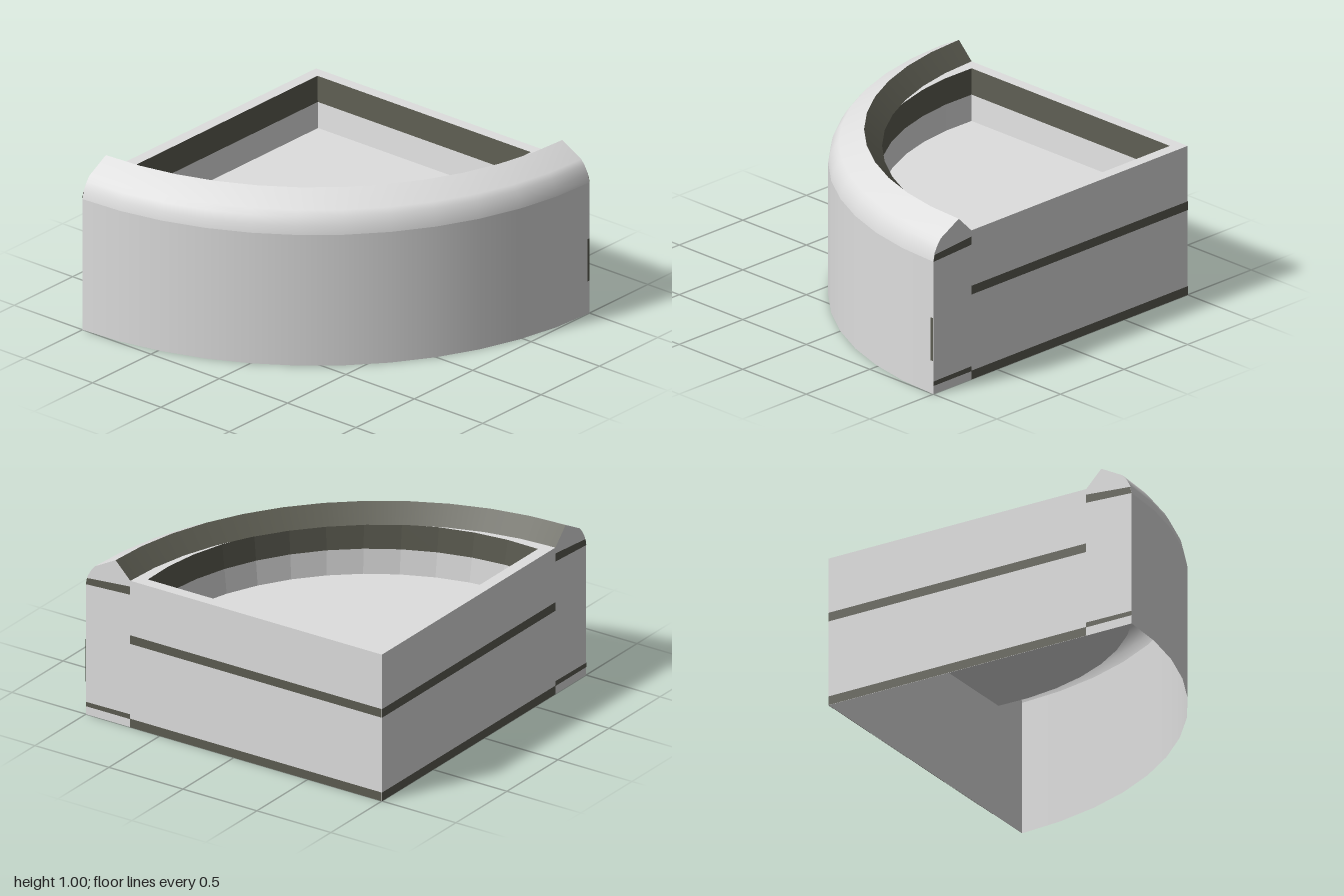
import * as THREE from 'three';

const SEG = 12;
const light = new THREE.MeshStandardMaterial({ color: 0xdedede, side: THREE.DoubleSide });
light.name = 'light grey';
const dark = new THREE.MeshStandardMaterial({ color: 0x5c5c51, side: THREE.DoubleSide });
dark.name = 'dark olive grey';

// Quarter outline as [x, z], starting at the square corner (1, -1) moved in by c
function outline(c, radius, bulge = 0) {
  const pts = [[1 - c, -1 + c]];
  for (let i = 0; i <= SEG; i++) {
    const a = (i / SEG) * Math.PI / 2;
    const r = radius + bulge * Math.sin(2 * a);
    pts.push([1 - c - r * Math.cos(a), -1 + c + r * Math.sin(a)]);
  }
  return pts;
}

const basinOutline = (inset) => outline(0.07 + inset, 1.56 - 2 * inset, 0.06);
const toVectors = (pts) => pts.map(([x, z]) => new THREE.Vector2(x, -z));

export function createModel() {
  const group = new THREE.Group();
  const add = (name, geometry, material) => {
    const mesh = new THREE.Mesh(geometry, material);
    mesh.name = name;
    group.add(mesh);
    return mesh;
  };

  // Surface swept about the square corner, from [radius, height] pairs, ending at the left side
  const sweep = (name, profile, material, angle = Math.PI / 2, segments = SEG) => {
    const points = profile.map(([r, y]) => new THREE.Vector2(r, y));
    add(name, new THREE.LatheGeometry(points, segments, Math.PI * 2 - angle, angle), material)
      .position.set(1, 0, -1);
  };
  const shoulder = [[2, 0.8], [1.99, 0.85], [1.965, 0.895], [1.94, 0.925], [1.8, 1]];
  sweep('curvedWall', [[2, 0], [2, 0.8]], light);
  sweep('roundedShoulder', shoulder, light);
  sweep('innerLipSlope', [[1.8, 1], [1.7, 0.9]], dark);
  sweep('wallEdgeMark', [[2.002, 0.2], [2.002, 0.46]], dark, 0.01, 1);

  // Flat rim around the basin, and the basin floor
  const flat = (name, shape, y) => {
    const geometry = new THREE.ShapeGeometry(shape).rotateX(-Math.PI / 2);
    add(name, geometry, light).position.y = y;
  };
  const rim = new THREE.Shape(toVectors(outline(0, 1.76)));
  rim.holes.push(new THREE.Path(toVectors(basinOutline(0))));
  flat('rim', rim, 0.9);
  flat('basinFloor', new THREE.Shape(toVectors(basinOutline(0.03))), 0.6);

  // Tapering basin walls in two bands
  const band = (name, topInset, topY, lowInset, lowY, material) => {
    const top = basinOutline(topInset), low = basinOutline(lowInset);
    const pos = [];
    top.forEach((p, i) => {
      const j = (i + 1) % top.length;
      const a = [p[0], topY, p[1]], b = [top[j][0], topY, top[j][1]];
      const c = [low[i][0], lowY, low[i][1]], d = [low[j][0], lowY, low[j][1]];
      pos.push(...a, ...b, ...c, ...b, ...d, ...c);
    });
    const geometry = new THREE.BufferGeometry();
    geometry.setAttribute('position', new THREE.Float32BufferAttribute(pos, 3));
    geometry.computeVertexNormals();
    add(name, geometry, material);
  };
  band('basinUpperBand', 0, 0.9, 0.015, 0.75, dark);
  band('basinLowerBand', 0.015, 0.75, 0.03, 0.6, light);

  // Two matching straight sides; s runs from the square corner to the curved wall
  const panel = [[0, 0], [2, 0], ...shoulder, [1.7, 0.9], [0, 0.9]];
  const stripes = {
    MiddleStripe: [[0, 0.513], [1.7, 0.513], [1.7, 0.566], [0, 0.566]],
    BaseStripe: [[0, 0], [1.7, 0], [1.7, 0.053], [0, 0.053]],
    EndLowerStripe: [[1.7, 0.05], [2, 0.05], [2, 0.077], [1.7, 0.08]],
    EndUpperStripe: [[1.7, 0.815], [2, 0.8], [1.992, 0.84], [1.7, 0.865]],
  };
  for (const side of ['left', 'back']) {
    const isLeft = side === 'left';
    const plate = (name, pts, material, lift) => {
      const shape = new THREE.Shape(pts.map(([s, y]) => new THREE.Vector2(isLeft ? -s : s, y)));
      const geometry = new THREE.ShapeGeometry(shape).translate(0, 0, lift);
      geometry.rotateY(isLeft ? Math.PI / 2 : Math.PI);
      add(side + name, geometry, material).position.set(1, 0, -1);
    };
    plate('Panel', panel, light, 0);
    for (const [name, pts] of Object.entries(stripes)) plate(name, pts, dark, 0.002);
  }

  return group;
}
